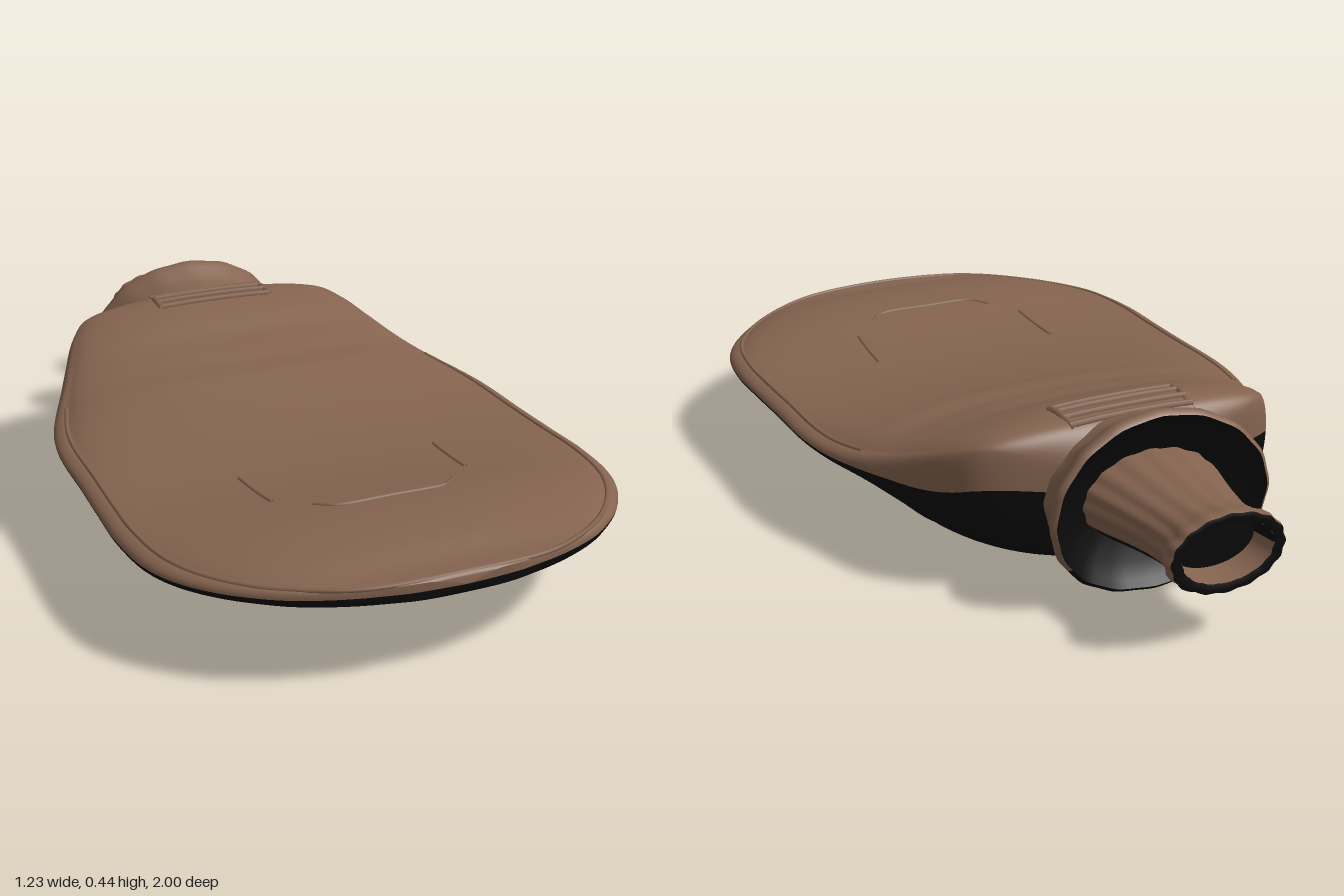
import * as THREE from 'three';

const brown = new THREE.MeshStandardMaterial({ color: 0x84634f, side: THREE.DoubleSide });
brown.name = 'brown rubber';
const black = new THREE.MeshStandardMaterial({ color: 0x0a0a0a, side: THREE.DoubleSide });
black.name = 'black underside';

// Smooth surface through a grid of points; outward side is du x dv.
function grid(nu, nv, point) {
  const pos = [], index = [];
  for (let j = 0; j <= nv; j++) for (let i = 0; i <= nu; i++) pos.push(...point(i / nu, j));
  for (let j = 0; j < nv; j++) for (let i = 0; i < nu; i++) {
    const a = j * (nu + 1) + i, d = a + nu + 1;
    index.push(a, a + 1, d, a + 1, d + 1, d);
  }
  const g = new THREE.BufferGeometry();
  g.setAttribute('position', new THREE.Float32BufferAttribute(pos, 3));
  g.setIndex(index);
  g.computeVertexNormals();
  return g;
}

function mesh(name, geometry, material) {
  const m = new THREE.Mesh(geometry, material);
  m.name = name;
  return m;
}

// Body profile: z, half width, top, bottom, seam height, edge thickness
const rows = [
  [1, 0, 0.237, 0.233, 0.235, 0.02], [0.995, 0.09, 0.255, 0.215, 0.235, 0.02],
  [0.98, 0.18, 0.256, 0.213, 0.234, 0.02], [0.93, 0.33, 0.258, 0.205, 0.23, 0.02],
  [0.85, 0.45, 0.277, 0.172, 0.224, 0.02], [0.75, 0.54, 0.288, 0.168, 0.219, 0.022],
  [0.65, 0.59, 0.285, 0.17, 0.217, 0.024], [0.5, 0.612, 0.262, 0.18, 0.217, 0.024],
  [0.35, 0.61, 0.25, 0.187, 0.217, 0.022], [0.2, 0.605, 0.257, 0.182, 0.218, 0.022],
  [0, 0.6, 0.288, 0.163, 0.22, 0.022], [-0.12, 0.58, 0.315, 0.143, 0.221, 0.026],
  [-0.22, 0.547, 0.33, 0.127, 0.223, 0.036], [-0.32, 0.505, 0.354, 0.105, 0.226, 0.06],
  [-0.42, 0.462, 0.388, 0.068, 0.233, 0.088], [-0.5, 0.422, 0.405, 0.045, 0.25, 0.1],
  [-0.55, 0.375, 0.402, 0.045, 0.265, 0.1], [-0.58, 0.31, 0.392, 0.055, 0.265, 0.09],
  [-0.61, 0.2, 0.365, 0.1, 0.25, 0.07],
];
const spline = new THREE.CubicInterpolant(
  rows.map(r => -r[0]), rows.flatMap(r => r.slice(1)), 5, new Float32Array(5));

// Point on the body skin at fraction u of the half width
function skin(u, z, top) {
  const [w, t, b, s, thick] = spline.evaluate(-z);
  const a = Math.abs(u), edge = 0.93;
  const reach = (top ? t : b) - s;
  const lip = Math.sign(reach) * Math.min(thick, Math.abs(reach));
  const dome = a < edge ? Math.pow(1 - Math.pow(a / edge, 2.6), 0.7) : 0;
  const round = a < edge ? 1 : Math.sqrt(Math.max(0, 1 - ((a - edge) / (1 - edge)) ** 2));
  // Soft creases below the shoulder
  const crease = 0.0025 * Math.sin(z * 45 + u * u * 5) * dome *
    Math.exp(-(((z + 0.2) / 0.14) ** 2));
  return [Math.max(0, w) * u, s + lip * round + (reach - lip) * dome + crease, z];
}

function bodyHalf(top) {
  const sub = 5, n = (rows.length - 1) * sub;
  return grid(72, n, (k, j) => {
    const i = Math.min(Math.floor(j / sub), rows.length - 2), f = j / sub - i;
    const z = THREE.MathUtils.lerp(rows[i][0], rows[i + 1][0], f);
    const u = Math.sin((k - 0.5) * Math.PI) * (top ? 1 : -1);
    return skin(u, z, top);
  });
}

// Elliptical sleeve through rings of z, half width, half height, over an arc in degrees
function sleeve(rings, from, to, cy, ripple = 0, bend = 0) {
  return grid(64, rings.length - 1, (k, j) => {
    const [z, w, h] = rings[j];
    const a = THREE.MathUtils.degToRad(from + (to - from) * k);
    const r = 1 + ripple * Math.cos(a * 16);
    const x = w * r * Math.cos(a);
    return [x, cy + h * r * Math.sin(a), z - bend * (x / 0.28) ** 2];
  });
}

// Brown upper arc and black lower arc of one sleeve
function twoTone(name, rings, low, ...rest) {
  const g = new THREE.Group();
  g.name = name;
  g.add(mesh(name + 'Upper', sleeve(rings, 180 + low, -low, ...rest), brown));
  g.add(mesh(name + 'Lower', sleeve(rings, -low, low - 180, ...rest), black));
  return g;
}

export function createModel() {
  const model = new THREE.Group();
  model.name = 'hotWaterBottle';
  model.add(mesh('bodyTop', bodyHalf(true), brown), mesh('bodyUnderside', bodyHalf(false), black));

  // Flared collar, open to the back
  model.add(twoTone('collar', [
    [-0.53, 0.265, 0.165], [-0.57, 0.24, 0.174], [-0.61, 0.235, 0.182], [-0.64, 0.245, 0.195],
    [-0.665, 0.266, 0.211], [-0.685, 0.28, 0.22], [-0.7, 0.281, 0.219], [-0.708, 0.272, 0.21],
  ], 32, 0.226, 0.006, 0.025));
  model.add(mesh('collarInside', sleeve([
    [-0.708, 0.272, 0.21], [-0.695, 0.255, 0.193], [-0.67, 0.22, 0.158], [-0.65, 0.15, 0.09],
  ], 180, -180, 0.226, 0.006, 0.025), black));

  // Ribbed neck with an open mouth
  model.add(twoTone('neck', [
    [-0.64, 0.178, 0.108], [-0.7, 0.168, 0.102], [-0.75, 0.154, 0.096], [-0.8, 0.142, 0.09],
    [-0.86, 0.13, 0.085], [-0.91, 0.126, 0.083], [-0.945, 0.13, 0.086], [-0.965, 0.143, 0.093],
    [-0.985, 0.146, 0.095], [-0.997, 0.142, 0.092],
  ], 34, 0.231, 0.018));
  model.add(mesh('mouthRim', sleeve([
    [-0.997, 0.142, 0.092], [-1, 0.132, 0.083], [-0.996, 0.115, 0.07],
  ], 180, -180, 0.231, 0.018), black));
  const hole = [[-0.996, 0.115, 0.07], [-0.93, 0.106, 0.062]];
  model.add(mesh('mouthRoof', sleeve(hole, 180, 0, 0.231), black));
  model.add(mesh('mouthFloor', sleeve(hole, 0, -180, 0.231), brown));
  model.add(mesh('mouthPlug', sleeve([hole[1], [-0.93, 0, 0]], 180, -180, 0.231), black));

  // Raised lines laid over the body
  const tube = (name, pts, r, steps) => {
    const path = new THREE.CatmullRomCurve3(pts.map(p => new THREE.Vector3(...p)));
    model.add(mesh(name, new THREE.TubeGeometry(path, steps, r, 6), brown));
  };
  const line = (name, pts, r) =>
    tube(name, pts.map(([x, z]) => skin(x / spline.evaluate(-z)[0], z, true)), r, 24);
  for (const z of [-0.475, -0.505, -0.54, -0.57])
    line('gripRib', [[-0.16, z], [-0.08, z], [0, z], [0.08, z], [0.16, z]], 0.009);
  line('panelFrontEdge', [[-0.18, 0.6], [-0.14, 0.635], [0, 0.64], [0.14, 0.635], [0.18, 0.6]], 0.005);
  for (const s of [-1, 1]) {
    line('gripSide', [[s * 0.16, -0.47], [s * 0.16, -0.52], [s * 0.15, -0.58]], 0.009);
    line('panelSideEdge', [[s * 0.26, 0.35], [s * 0.255, 0.45], [s * 0.25, 0.53]], 0.005);
  }

  // Bead running round the rim
  const rimZ = [-0.2, -0.1, 0, 0.2, 0.35, 0.5, 0.65, 0.75, 0.85, 0.93, 0.97];
  const rim = s => rimZ.map(z => skin(s * 0.94, z, true));
  tube('rimBead', [...rim(-1), skin(0, 0.985, true), ...rim(1).reverse()], 0.006, 120);
  return model;
}
